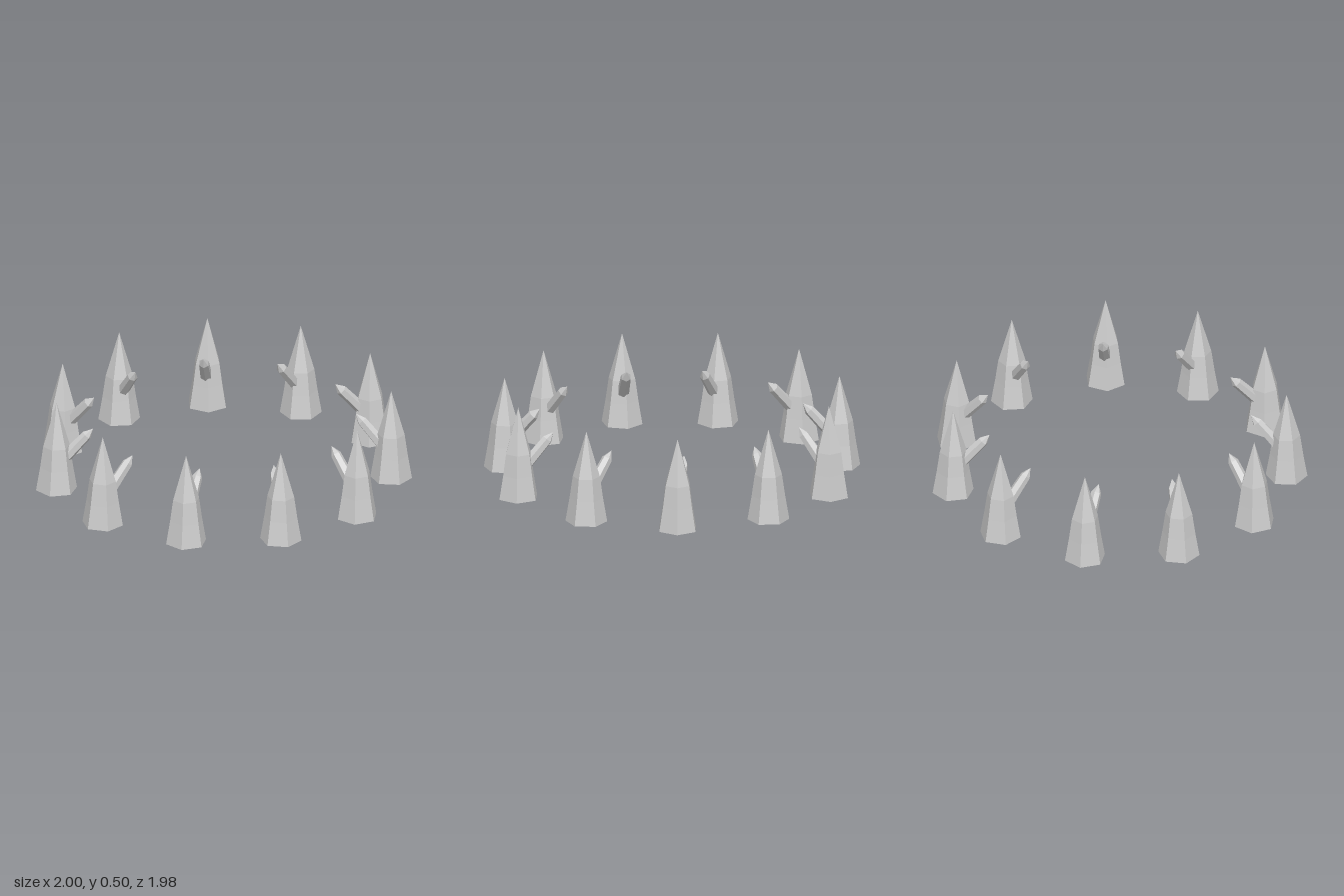
import * as THREE from 'three';

const rad = THREE.MathUtils.degToRad;

// Six-sided solid turned from [radius, height] pairs, bottom to top
function hexSolid(profile) {
  return new THREE.LatheGeometry(profile.map(([r, y]) => new THREE.Vector2(r, y)), 6);
}

export function createModel() {
  const model = new THREE.Group();
  model.name = 'spikeRing';
  const material = new THREE.MeshStandardMaterial({ color: 0xcccccc, flatShading: true });

  // Tall spike: flared foot, slim middle, long point
  const spikeGeometry = hexSolid([[0, 0], [0.111, 0], [0.089, 0.13], [0.072, 0.25], [0, 0.5]]);
  // Side prong: slightly tapered shaft with a short point
  const prongGeometry = hexSolid([[0, 0.04], [0.034, 0.04], [0.028, 0.24], [0, 0.29]]);

  // Ground positions [x, z], going round from the front towards +x
  const spots = [
    [0.51, 0.72], [0.83, 0.335], [0.885, -0.17], [0.665, -0.625], [0.235, -0.885], [-0.265, -0.88],
    [-0.685, -0.6], [-0.89, -0.135], [-0.81, 0.36], [-0.48, 0.74], [0, 0.882],
  ];

  spots.forEach(([x, z], i) => {
    const post = new THREE.Group();
    post.name = `post${i + 1}`;
    post.position.set(x, 0, z);
    post.rotation.y = rad(31.5 + 32.95 * i);

    const spike = new THREE.Mesh(spikeGeometry, material);
    spike.name = 'spike';

    // The prong leans inward and up, a little off the radius
    const prong = new THREE.Mesh(prongGeometry, material);
    prong.name = 'prong';
    prong.position.y = 0.13;
    prong.rotation.set(rad(-42), rad(-9.5), 0, 'YXZ');

    post.add(spike, prong);
    model.add(post);
  });

  return model;
}
